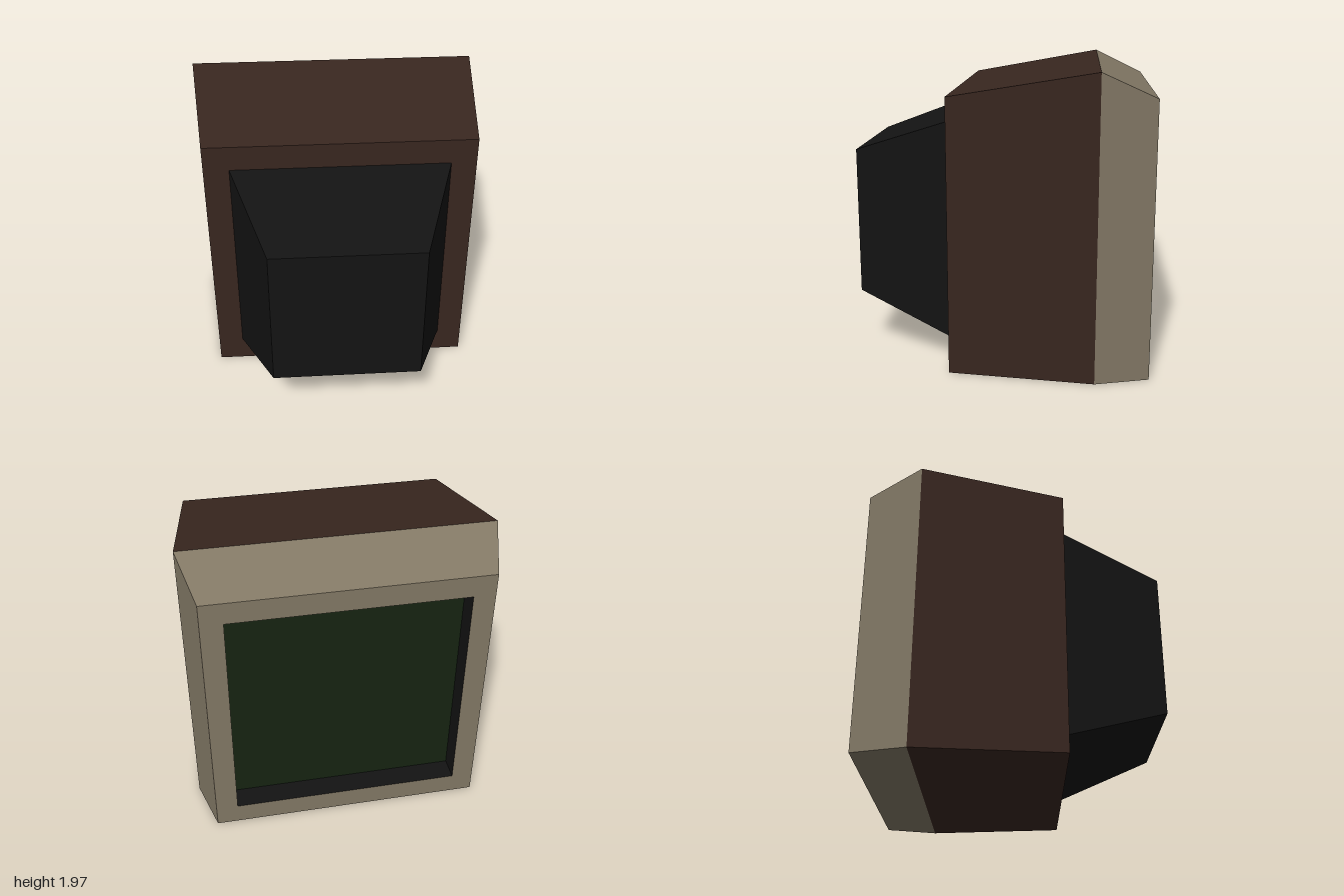
import * as THREE from 'three';

// A rectangular cross-section: half width, bottom, top, depth position
const section = (w, y0, y1, z) => [[-w, y0, z], [w, y0, z], [w, y1, z], [-w, y1, z]];

// Joins sections from front to back with flat quads, optionally capping either end
function loft(sections, { frontCap = false, backCap = false } = {}) {
  const pos = [];
  const quad = (a, b, c, d) => pos.push(...a, ...b, ...c, ...a, ...c, ...d);
  for (let s = 0; s < sections.length - 1; s++) {
    const A = sections[s], B = sections[s + 1];
    for (let i = 0; i < 4; i++) {
      const j = (i + 1) % 4;
      quad(A[i], B[i], B[j], A[j]);
    }
  }
  if (frontCap) quad(...sections[0]);
  if (backCap) quad(...[...sections[sections.length - 1]].reverse());
  const geometry = new THREE.BufferGeometry();
  geometry.setAttribute('position', new THREE.Float32BufferAttribute(pos, 3));
  geometry.computeVertexNormals();
  return geometry;
}

export function createModel() {
  const model = new THREE.Group();
  model.name = 'boxMonitor';

  const material = (color) => new THREE.MeshStandardMaterial({ color, flatShading: true });
  const wood = material(0x38261f);
  const beige = material(0x827865);
  const black = material(0x131313);
  const green = material(0x162412);

  const add = (name, geometry, mat) => {
    const mesh = new THREE.Mesh(geometry, mat);
    mesh.name = name;
    model.add(mesh);
  };

  // Shared outlines
  const tubeBase = section(0.73, 0.175, 1.635, 0.315);
  const rimWide = section(1, 0, 1.97, -0.63);
  const opening = section(0.757, 0.14, 1.66, -0.98);
  const screenEdge = section(0.757, 0.14, 1.66, -0.83);

  // Tapered housing of the picture tube
  add('tubeHousing', loft([section(0.495, 0.41, 1.4, 0.98), tubeBase], { frontCap: true }), black);

  // Wooden cabinet, widening towards the screen
  add('cabinet', loft([tubeBase, section(0.9, 0, 1.805, 0.315), rimWide]), wood);

  // Bevelled bezel with the flat rim around the screen
  add('bezel', loft([rimWide, section(0.9, 0, 1.805, -0.98), opening]), beige);

  // Recess walls and the screen at their bottom
  add('screenRecess', loft([opening, screenEdge]), black);
  add('screen', loft([screenEdge], { backCap: true }), green);

  return model;
}
